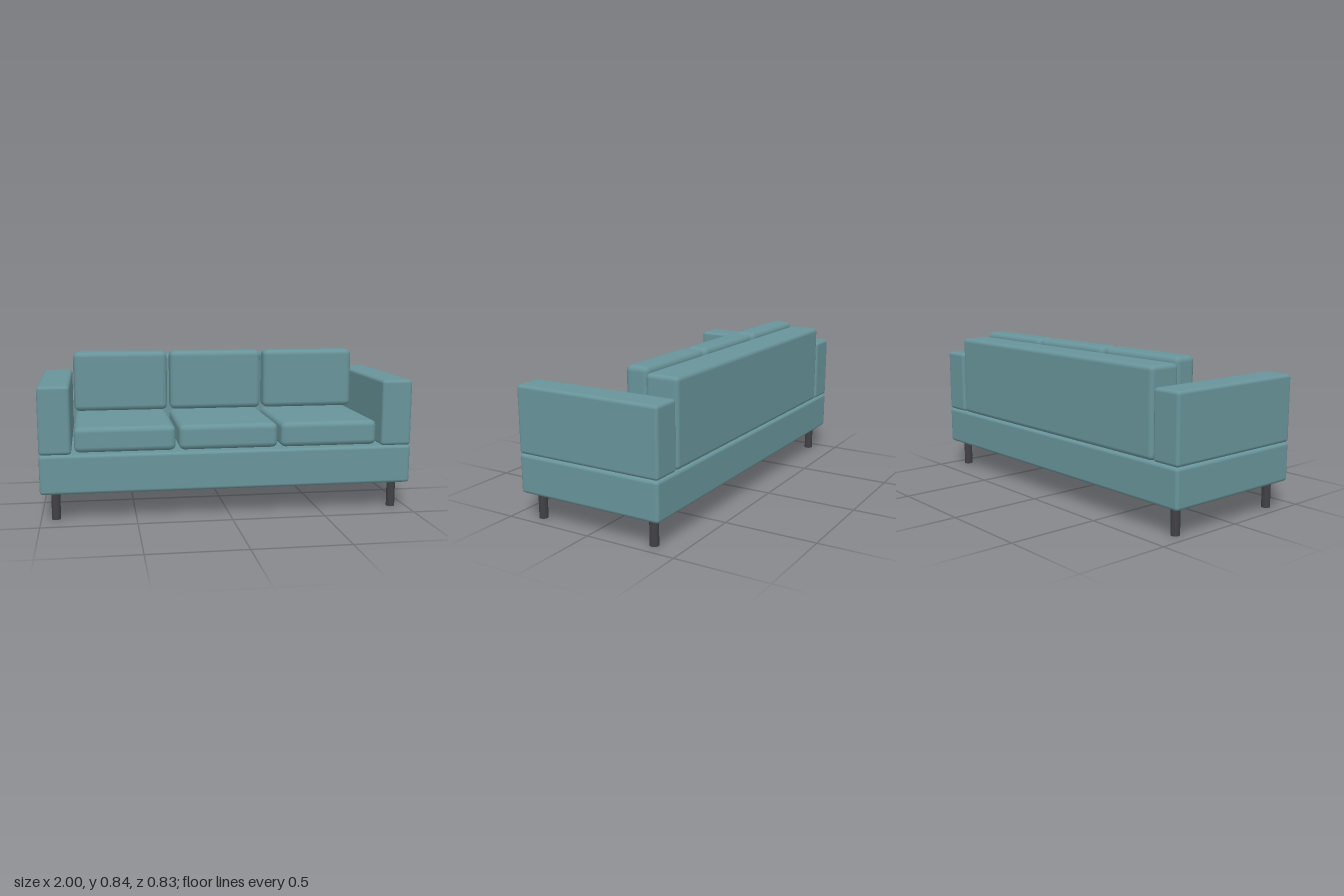
import * as THREE from 'three';
import { RoundedBoxGeometry } from 'three/addons/geometries/RoundedBoxGeometry.js';

export function createModel() {
  const sofa = new THREE.Group();
  sofa.name = 'sofa';

  const fabric = new THREE.MeshStandardMaterial({ color: 0x68949a });
  fabric.name = 'teal fabric';
  const legMetal = new THREE.MeshStandardMaterial({ color: 0x414145 });
  legMetal.name = 'dark leg';

  // Upholstered block given by its [min, max] extents on each axis
  function block(name, [x0, x1], [y0, y1], [z0, z1], radius) {
    const geometry = new RoundedBoxGeometry(x1 - x0, y1 - y0, z1 - z0, 2, radius);
    const mesh = new THREE.Mesh(geometry, fabric);
    mesh.name = name;
    mesh.position.set((x0 + x1) / 2, (y0 + y1) / 2, (z0 + z1) / 2);
    sofa.add(mesh);
  }

  // Frame: base and backrest
  block('base', [-1, 1], [0.146, 0.355], [-0.417, 0.417], 0.018);
  block('backrest', [-0.825, 0.825], [0.355, 0.811], [-0.417, -0.235], 0.024);

  // Armrests
  block('leftArm', [0.833, 1], [0.356, 0.714], [-0.417, 0.417], 0.018);
  block('rightArm', [-1, -0.833], [0.356, 0.714], [-0.417, 0.417], 0.018);

  // Three seat cushions with a back cushion above each
  ['right', 'middle', 'left'].forEach((side, i) => {
    const x = (i - 1) * 0.552;
    const span = [x - 0.267, x + 0.267];
    block(side + 'SeatCushion', span, [0.355, 0.49], [-0.238, 0.376], 0.03);
    block(side + 'BackCushion', span, [0.5, 0.839], [-0.244, -0.115], 0.03);
  });

  // Round legs at the corners
  const legGeometry = new THREE.CylinderGeometry(0.0235, 0.0235, 0.155, 24);
  for (const x of [-0.921, 0.921]) {
    for (const z of [-0.343, 0.343]) {
      const leg = new THREE.Mesh(legGeometry, legMetal);
      leg.name = (z > 0 ? 'front' : 'back') + (x > 0 ? 'Left' : 'Right') + 'Leg';
      leg.position.set(x, 0.0775, z);
      sofa.add(leg);
    }
  }

  return sofa;
}
